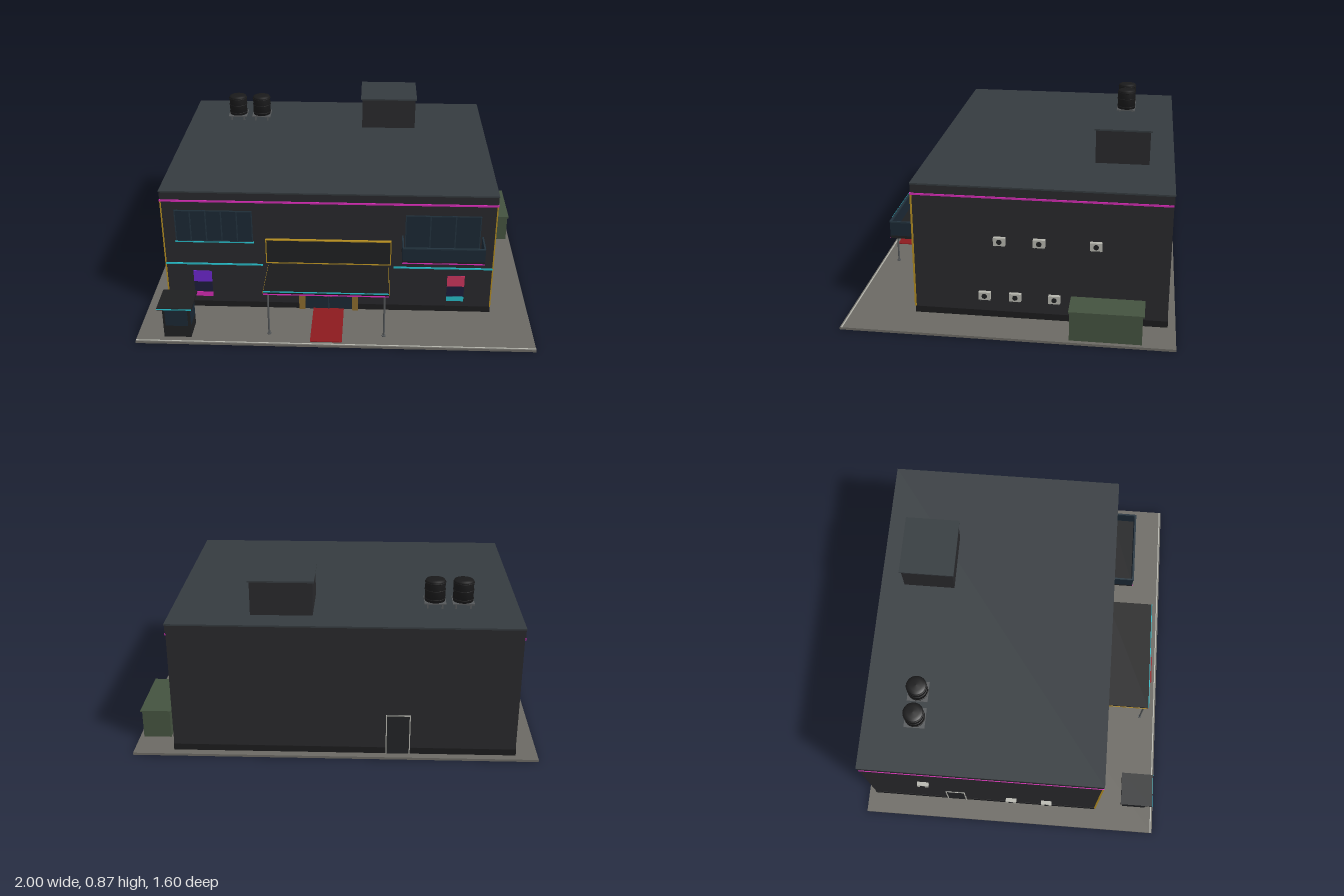
import * as THREE from 'three';

const C = {
  wall: 0x28282b, plinth: 0x1b1b1d, roof: 0x353b3f, ground: 0x6b6963, dark: 0x1e1f21,
  glass: 0x1a2733, frame: 0x22323d, gold: 0x8a6a2c, goldLine: 0xb08a20, pink: 0xd02ab0,
  cyan: 0x25b8c4, purple: 0x6a26c8, rose: 0xc8345c, navy: 0x1c1c38, red: 0x8c1a1e,
  green: 0x44523f, light: 0xb4b4ac, steel: 0x55585a, tank: 0x1a1a1b, door: 0x222426,
};
const mats = {};
const mat = (c) => (mats[c] ??= new THREE.MeshStandardMaterial({ color: C[c] }));

export function createModel() {
  const model = new THREE.Group();

  function add(geo, color, name, parent = model) {
    const m = new THREE.Mesh(geo, mat(color));
    m.name = name;
    parent.add(m);
    return m;
  }
  // Box given by its minimum and maximum on each axis
  function box(name, color, x0, x1, y0, y1, z0, z1, parent) {
    const m = add(new THREE.BoxGeometry(x1 - x0, y1 - y0, z1 - z0), color, name, parent);
    m.position.set((x0 + x1) / 2, (y0 + y1) / 2, (z0 + z1) / 2);
    return m;
  }
  function group(name, parent = model) {
    const g = new THREE.Group();
    g.name = name;
    parent.add(g);
    return g;
  }
  // Four thin bars around a rectangle in the xy plane
  function border(name, color, x0, x1, y0, y1, z0, z1, t, parent) {
    box(name, color, x0, x1, y1 - t, y1, z0, z1, parent);
    box(name, color, x0, x1, y0, y0 + t, z0, z1, parent);
    box(name, color, x0, x0 + t, y0 + t, y1 - t, z0, z1, parent);
    box(name, color, x1 - t, x1, y0 + t, y1 - t, z0, z1, parent);
  }

  const L = -0.89, R = 0.80, B = -0.76, F = 0.472, G = 0.012;

  // Site
  box('groundSlab', 'ground', -1, 1, 0, G, -0.8, 0.8);
  box('frontKerb', 'light', -1, 1, G, G + 0.002, 0.787, 0.793);
  box('carpet', 'red', -0.125, 0.035, G, G + 0.004, F, 0.772);

  // Building shell
  box('walls', 'wall', L, R, G, 0.655, B, F);
  box('plinth', 'plinth', L - 0.002, R + 0.002, G, 0.045, B - 0.002, F + 0.002);
  box('parapet', 'wall', L - 0.003, R + 0.003, 0.65, 0.688, B - 0.003, F + 0.003);
  box('roof', 'roof', L - 0.005, R + 0.005, 0.688, 0.696, B - 0.005, F + 0.005);

  // Light strips around the top, along the front and on the front corners
  const strips = group('lightStrips');
  box('topStripFront', 'pink', L - 0.005, R + 0.005, 0.636, 0.645, F, F + 0.006, strips);
  box('topStripLeft', 'pink', R, R + 0.005, 0.636, 0.645, B, F, strips);
  box('topStripRight', 'pink', L - 0.005, L, 0.636, 0.645, B, F, strips);
  box('middleStrip', 'cyan', L, -0.385, 0.271, 0.279, F, F + 0.006, strips);
  box('middleStrip', 'cyan', 0.29, R, 0.271, 0.279, F, F + 0.006, strips);
  for (const x of [L, R]) box('cornerStrip', 'goldLine', x - 0.003, x + 0.003, 0.045, 0.636, F - 0.003, F + 0.006, strips);

  // Upper windows with mullions
  function windowBank(name, x0, x1, y0, y1, panes) {
    const g = group(name);
    box('glass', 'glass', x0, x1, y0, y1, F, F + 0.003, g);
    border('frame', 'frame', x0, x1, y0, y1, F, F + 0.006, 0.005, g);
    for (let i = 1; i < panes; i++) {
      const x = x0 + ((x1 - x0) * i) / panes;
      box('mullion', 'frame', x - 0.003, x + 0.003, y0, y1, F, F + 0.006, g);
    }
  }
  windowBank('loungeWindow', -0.826, -0.43, 0.41, 0.588, 5);
  box('windowSill', 'cyan', -0.83, -0.426, 0.405, 0.411, F, F + 0.008);
  windowBank('balconyWindow', 0.345, 0.725, 0.39, 0.58, 3);

  // Balcony
  const balcony = group('balcony');
  box('floor', 'dark', 0.33, 0.74, 0.376, 0.39, F, 0.6, balcony);
  box('frontPanel', 'glass', 0.33, 0.74, 0.39, 0.458, 0.594, 0.6, balcony);
  box('rail', 'frame', 0.33, 0.74, 0.458, 0.465, 0.592, 0.602, balcony);
  for (const x of [0.33, 0.734]) {
    box('sidePanel', 'glass', x, x + 0.006, 0.39, 0.458, F, 0.596, balcony);
    box('sideRail', 'frame', x - 0.001, x + 0.007, 0.458, 0.465, F, 0.594, balcony);
  }
  box('edgeStrip', 'pink', 0.33, 0.74, 0.376, 0.381, 0.6, 0.603, balcony);

  // Blank sign panel above the canopy
  const sign = group('signPanel');
  box('panel', 'dark', -0.362, 0.273, 0.297, 0.428, F, F + 0.012, sign);
  border('signFrame', 'goldLine', -0.366, 0.277, 0.293, 0.432, F, F + 0.015, 0.005, sign);

  // Entrance canopy
  const canopy = group('canopy');
  box('canopySlab', 'tank', -0.355, 0.265, 0.259, 0.279, F, 0.728, canopy);
  box('canopyFrontStrip', 'cyan', -0.355, 0.265, 0.274, 0.279, 0.728, 0.732, canopy);
  box('canopyLowerStrip', 'pink', -0.355, 0.265, 0.259, 0.264, 0.728, 0.732, canopy);
  for (const x of [-0.358, 0.265]) box('canopySideStrip', 'goldLine', x, x + 0.003, 0.266, 0.272, F, 0.73, canopy);
  for (const x of [-0.335, 0.245]) {
    add(new THREE.CylinderGeometry(0.005, 0.005, 0.25, 12), 'steel', 'post', canopy).position.set(x, 0.136, 0.71);
    add(new THREE.CylinderGeometry(0.01, 0.01, 0.006, 12), 'steel', 'postFoot', canopy).position.set(x, G + 0.003, 0.71);
  }

  // Main entrance
  const entrance = group('entrance');
  box('doorGlass', 'glass', -0.168, 0.078, G, 0.255, F, F + 0.004, entrance);
  for (const x of [-0.2, 0.078]) box('pillar', 'gold', x, x + 0.032, G, 0.257, F, F + 0.014, entrance);
  box('transom', 'frame', -0.168, 0.078, 0.207, 0.213, F, F + 0.008, entrance);
  box('doorMeeting', 'frame', -0.048, -0.042, G, 0.255, F, F + 0.008, entrance);
  for (const x of [-0.06, -0.034]) box('doorHandle', 'gold', x, x + 0.004, 0.09, 0.15, F, F + 0.01, entrance);

  // Colour-block posters
  function poster(x0, x1, top, bottom) {
    const g = group('poster');
    box('posterBoard', 'navy', x0, x1, 0.078, 0.232, F, F + 0.004, g);
    box('upperBlock', top, x0, x1, 0.168, 0.232, F, F + 0.006, g);
    box('lowerBlock', bottom, x0, x1, 0.078, 0.105, F, F + 0.006, g);
  }
  poster(-0.75, -0.655, 'purple', 'pink');
  poster(0.57, 0.66, 'rose', 'cyan');

  // Ticket kiosk
  const kiosk = group('kiosk');
  box('kioskBody', 'dark', -0.862, -0.725, G, 0.185, 0.628, 0.754, kiosk);
  box('kioskFrontGlass', 'glass', -0.85, -0.737, 0.08, 0.175, 0.754, 0.757, kiosk);
  box('kioskSideGlass', 'glass', -0.725, -0.722, 0.08, 0.175, 0.64, 0.742, kiosk);
  box('kioskSideGlass', 'glass', -0.865, -0.862, 0.08, 0.175, 0.64, 0.742, kiosk);
  box('kioskRoof', 'dark', -0.884, -0.71, 0.183, 0.195, 0.605, 0.774, kiosk);
  box('kioskStrip', 'cyan', -0.884, -0.71, 0.186, 0.191, 0.774, 0.777, kiosk);

  // Storage bin beside the building
  const bin = group('storageBin');
  box('binBody', 'green', 0.84, 0.98, G, 0.157, -0.642, -0.302, bin);
  box('binLid', 'green', 0.832, 0.987, 0.157, 0.165, -0.65, -0.297, bin);

  // Wall-mounted air conditioners; side is +1 for left, -1 for right
  function airConditioner(side, y, z) {
    const g = group('airConditioner');
    box('case', 'light', 0, 0.02, -0.02, 0.02, -0.029, 0.029, g);
    const fan = add(new THREE.CylinderGeometry(0.013, 0.013, 0.003, 20), 'dark', 'fan', g);
    fan.rotation.z = Math.PI / 2;
    fan.position.x = 0.0205;
    for (const s of [-0.02, 0.02]) box('bracket', 'steel', 0, 0.018, -0.025, -0.02, s - 0.002, s + 0.002, g);
    g.position.set(side > 0 ? R : L, y, z);
    if (side < 0) g.rotation.y = Math.PI;
  }
  for (const z of [0.05, -0.14, -0.41]) airConditioner(1, 0.422, z);
  for (const z of [0.125, -0.025, -0.215]) airConditioner(1, 0.13, z);
  airConditioner(-1, 0.422, -0.455);
  for (const z of [0.005, 0.2]) airConditioner(-1, 0.13, z);

  // Service doors on the back and the right wall
  function serviceDoor(name, width, x, z, turn) {
    const g = group(name), w = width / 2, h = 0.215;
    box('doorLeaf', 'door', -w, w, 0, h, 0, 0.003, g);
    box('doorHead', 'light', -w, w, h - 0.005, h, 0, 0.006, g);
    for (const s of [-w, w - 0.005]) box('doorJamb', 'light', s, s + 0.005, 0, h - 0.005, 0, 0.006, g);
    g.position.set(x, G, z);
    g.rotation.y = turn;
  }
  serviceDoor('backDoor', 0.12, -0.31, B, Math.PI);
  serviceDoor('sideDoor', 0.105, L, -0.3, -Math.PI / 2);

  // Stair house on the roof
  const house = group('stairHouse');
  box('houseWalls', 'wall', 0.11, 0.412, 0.696, 0.866, -0.641, -0.373, house);
  box('houseCap', 'roof', 0.102, 0.42, 0.866, 0.874, -0.65, -0.366, house);

  // Water tanks on legs
  const profile = [[0, 0], [0.05, 0], [0.05, 0.1], [0.046, 0.107], [0.03, 0.111], [0, 0.113]]
    .map(([r, y]) => new THREE.Vector2(r, y));
  for (const x of [-0.62, -0.482]) {
    const g = group('waterTank');
    add(new THREE.LatheGeometry(profile, 28), 'tank', 'tankBody', g).position.y = 0.032;
    for (const y of [0.045, 0.09, 0.128]) {
      const ring = add(new THREE.TorusGeometry(0.05, 0.0025, 6, 28), 'tank', 'tankRib', g);
      ring.rotation.x = Math.PI / 2;
      ring.position.y = y;
    }
    box('tankStand', 'steel', -0.053, 0.053, 0.026, 0.032, -0.053, 0.053, g);
    for (const sx of [-0.036, 0.036]) for (const sz of [-0.036, 0.036])
      box('tankLeg', 'steel', sx - 0.004, sx + 0.004, 0, 0.026, sz - 0.004, sz + 0.004, g);
    g.position.set(x, 0.696, -0.495);
  }
  return model;
}
